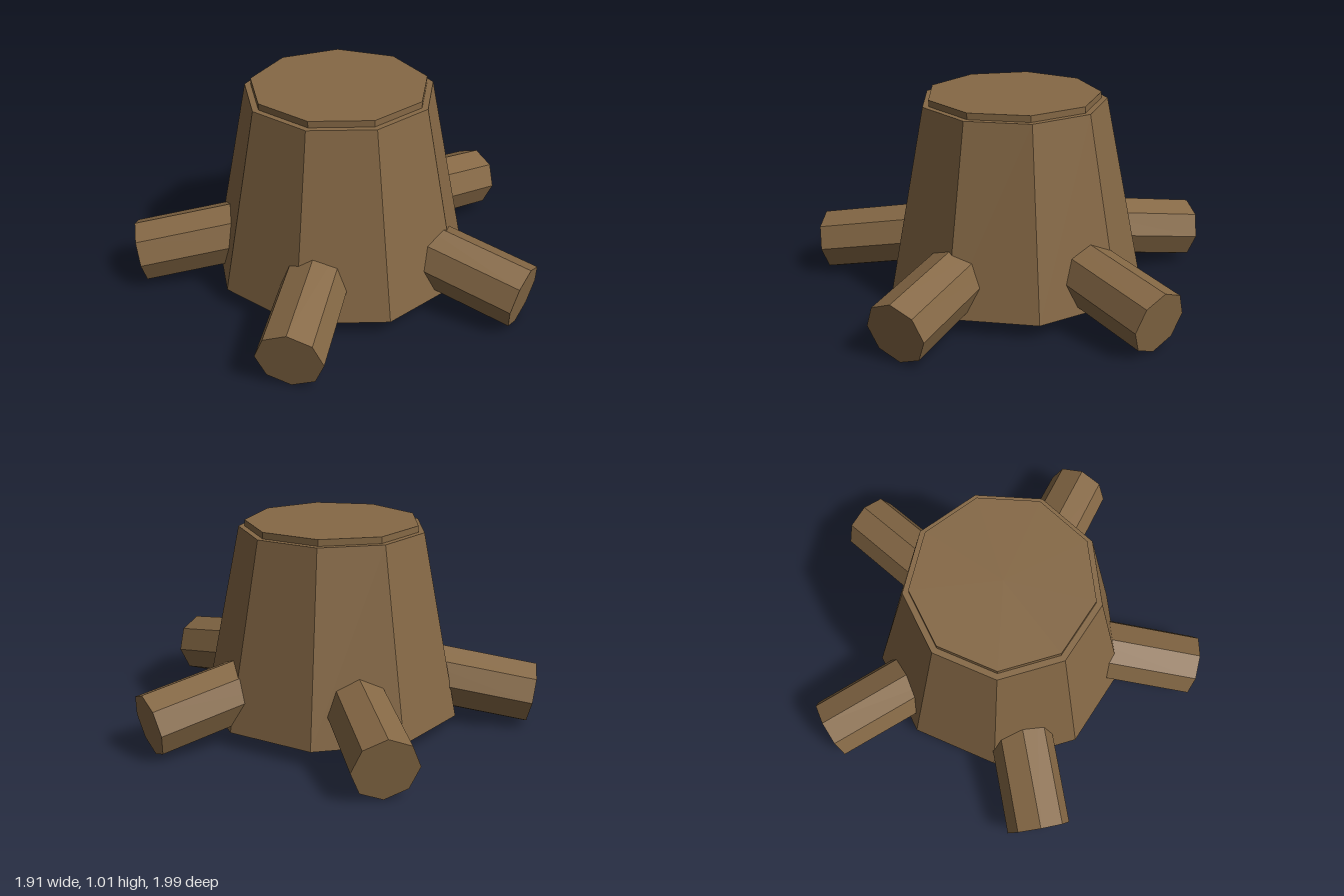
import * as THREE from 'three';

const CENTRE_X = -0.063;

export function createModel() {
  const group = new THREE.Group();
  group.name = 'treeStump';
  const bark = new THREE.MeshStandardMaterial({ name: 'bark brown', color: 0x856845, flatShading: true });

  // Nine-sided tapered ring with a corner pointing to the back
  function ring(name, topRadius, bottomRadius, y0, y1) {
    const geometry = new THREE.CylinderGeometry(topRadius, bottomRadius, y1 - y0, 9);
    geometry.rotateY(Math.PI);
    const mesh = new THREE.Mesh(geometry, bark);
    mesh.name = name;
    mesh.position.set(CENTRE_X, (y0 + y1) / 2, 0);
    group.add(mesh);
  }
  ring('trunk', 0.457, 0.64, 0.075, 0.982);
  ring('cutTop', 0.427, 0.427, 0.982, 1.013);

  // Five octagonal roots spread evenly, sloping down by ten degrees
  const length = 0.7;
  const tilt = THREE.MathUtils.degToRad(10);
  for (let i = 0; i < 5; i++) {
    const geometry = new THREE.CylinderGeometry(0.155, 0.155, length, 8);
    geometry.translate(0, -length / 2, 0); // outer end at the origin
    geometry.rotateZ(-Math.PI / 2 - tilt);
    geometry.translate(0.991, 0.153, 0);
    const root = new THREE.Mesh(geometry, bark);
    root.name = `root${i + 1}`;
    root.position.x = CENTRE_X;
    root.rotation.y = (i * Math.PI * 2) / 5;
    group.add(root);
  }
  return group;
}
